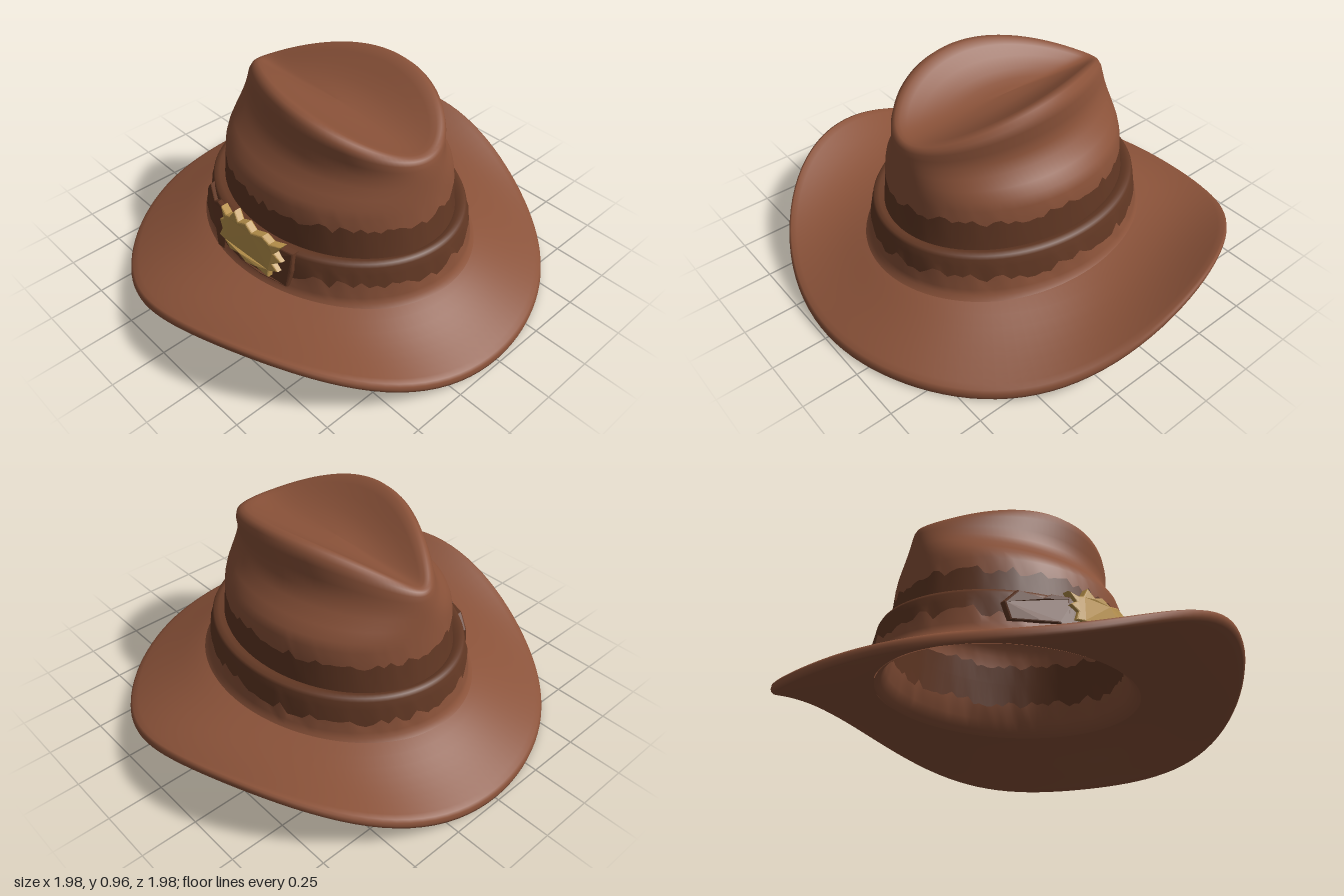
import * as THREE from 'three';

const N = 112;
const mat = (color) => new THREE.MeshStandardMaterial({ color, side: THREE.DoubleSide });
const felt = mat(0x8a5239), dark = mat(0x623824), gold = mat(0xba934c);

// small repeatable noise in -1..1, for ragged colour borders
const noise = (j) => {
  const v = Math.sin(j * 12.9898) * 43758.5453;
  return (v - Math.floor(v)) * 2 - 1;
};

// closed loops of N points, one per row, joined into a smooth skin
function loft(name, rows, point, material) {
  const pos = [], index = [];
  rows.forEach((row) => {
    for (let j = 0; j < N; j++) pos.push(...point(row, (j / N) * Math.PI * 2, j));
  });
  for (let i = 0; i < rows.length - 1; i++) {
    for (let j = 0; j < N; j++) {
      const a = i * N + j, b = i * N + ((j + 1) % N);
      index.push(a, b, a + N, b, b + N, a + N);
    }
  }
  const g = new THREE.BufferGeometry();
  g.setAttribute('position', new THREE.Float32BufferAttribute(pos, 3));
  g.setIndex(index);
  g.computeVertexNormals();
  const mesh = new THREE.Mesh(g, material);
  mesh.name = name;
  return mesh;
}

// crown row: [y, rx, rz, lift of the sides, teardrop amount, ragged height]
function crownPoint([y, rx, rz, lift = 0, tear = 0, jag = 0], t, j) {
  const s = Math.sin(t), c = Math.cos(t);
  const pinch = 1 + tear * (0.28 * s - 0.25 * s * s);
  return [rx * s + 0.005, y + lift * c * c + jag * noise(j), rz * c * pinch];
}

// brim row: u runs from the crown (0) to the rim (1), d is depth under the top face
function brimPoint({ u, d }, t) {
  const s = Math.sin(t), c = Math.cos(t);
  const R = 0.99 + 0.022 * Math.sin(2 * t);
  const rim = 0.06 + 0.28 * Math.cos(t - 0.39) ** 4;
  const k = 0.62 * (1 - u) + R * u, m = 0.53 * (1 - u) + R * u;
  const y = 0.24 + (rim - 0.24) * u ** 1.6 - 0.025 * Math.sin(Math.PI * u) - d;
  return [k * s, y, m * c];
}

// outline cut from sheet and bent round the front of the hat band
function bentPanel(name, outline, depth, offset, material) {
  const shape = new THREE.Shape(outline.map(([x, y]) => new THREE.Vector2(x, y)));
  const g = new THREE.ExtrudeGeometry(shape, {
    depth, bevelEnabled: true, bevelSize: 0.006, bevelThickness: 0.006, bevelSegments: 2,
  });
  const p = g.attributes.position;
  for (let i = 0; i < p.count; i++) {
    const x = p.getX(i), y = p.getY(i);
    const wall = 0.535 * Math.sqrt(1 - (x / 0.64) ** 2) - 0.2 * (y - 0.33);
    p.setZ(i, p.getZ(i) + wall + offset);
  }
  g.computeVertexNormals();
  const mesh = new THREE.Mesh(g, material);
  mesh.name = name;
  return mesh;
}

export function createModel() {
  const hat = new THREE.Group();
  hat.name = 'hat';

  // brim: underside outwards, rounded rim, then top face inwards
  const us = [0, 0.12, 0.25, 0.38, 0.5, 0.62, 0.73, 0.83, 0.91, 0.97];
  const rows = [
    ...us.map((u) => ({ u, d: 0.046 })),
    { u: 0.993, d: 0.038 }, { u: 1, d: 0.024 }, { u: 0.993, d: 0.008 },
    ...us.map((u) => ({ u, d: 0 })).reverse(),
  ];
  hat.add(loft('brim', rows, brimPoint, felt));

  // ribbon round the foot of the crown
  const ribbonEdge = [0.325, 0.645, 0.54, 0, 0, 0.03];
  hat.add(loft('crownFoot', [
    [0.225, 0.675, 0.575], [0.245, 0.658, 0.558], [0.27, 0.652, 0.55], ribbonEdge,
  ], crownPoint, felt));
  hat.add(loft('hatBand', [
    ribbonEdge, [0.38, 0.635, 0.53], [0.415, 0.628, 0.522], [0.43, 0.62, 0.515],
    [0.432, 0.6, 0.49], [0.42, 0.578, 0.462],
  ], crownPoint, dark));

  // crown wall, ridge and the teardrop dent in the top
  const stainEdge = [0.55, 0.564, 0.455, 0, 0, 0.022];
  hat.add(loft('crownStain', [
    [0.41, 0.582, 0.464], [0.46, 0.574, 0.461], stainEdge,
  ], crownPoint, dark));
  const crown = [
    stainEdge,
    [0.61, 0.558, 0.448],
    [0.65, 0.555, 0.43, 0, 0.03],
    [0.69, 0.552, 0.395, 0, 0.12],
    [0.73, 0.55, 0.352, 0.01, 0.3],
    [0.765, 0.547, 0.325, 0.03, 0.45],
    [0.795, 0.543, 0.322, 0.06, 0.6],
    [0.818, 0.538, 0.33, 0.1, 0.75],
    [0.833, 0.53, 0.325, 0.127, 0.88],
    [0.84, 0.518, 0.302, 0.14, 0.95],
    [0.842, 0.5, 0.275, 0.14, 1],
    [0.84, 0.475, 0.24, 0.118, 1],
    [0.838, 0.43, 0.19, 0.083, 1],
    [0.838, 0.36, 0.13, 0.045, 1],
    [0.842, 0.24, 0.075, 0.02, 1],
    [0.85, 0.11, 0.03, 0.005, 1],
    [0.852, 0, 0],
  ];
  hat.add(loft('crown', crown, crownPoint, felt));

  // inside of the crown, listed from the top down so it faces inwards
  const inset = ([y, rx, rz, ...rest]) => [y - 0.035, rx * 0.95, rz * 0.93, ...rest];
  const innerTop = [0.53, 0.536, 0.423, 0, 0, 0.02];
  const innerLow = [0.34, 0.56, 0.452, 0, 0, 0.025];
  hat.add(loft('crownLining', [...crown.slice(1).reverse().map(inset), innerTop], crownPoint, felt));
  hat.add(loft('sweatband', [innerTop, [0.44, 0.548, 0.436], innerLow], crownPoint, dark));
  hat.add(loft('liningFoot', [
    innerLow, [0.26, 0.575, 0.475], [0.215, 0.595, 0.505], [0.194, 0.62, 0.53],
  ], crownPoint, felt));

  // knot, tails and strap end on the ribbon
  hat.add(bentPanel('ribbonTails', [
    [-0.13, 0.43], [-0.23, 0.42], [-0.27, 0.395], [-0.36, 0.415], [-0.41, 0.36],
    [-0.4, 0.285], [-0.3, 0.29], [-0.22, 0.3], [-0.18, 0.245], [-0.13, 0.26],
  ], 0.022, -0.005, dark));
  hat.add(bentPanel('ribbonKnot', [
    [-0.15, 0.43], [-0.17, 0.35], [-0.15, 0.29], [0, 0.285], [0.12, 0.28],
    [0.25, 0.275], [0.26, 0.35], [0.255, 0.43], [0.12, 0.435], [0, 0.435],
  ], 0.026, -0.01, dark));

  // ragged gold buckle
  hat.add(bentPanel('buckle', [
    [-0.16, 0.45], [-0.12, 0.435], [-0.09, 0.445], [-0.06, 0.49], [-0.03, 0.455],
    [0.02, 0.475], [0.06, 0.45], [0.12, 0.465], [0.16, 0.445], [0.21, 0.455],
    [0.18, 0.415], [0.22, 0.39], [0.18, 0.365], [0.21, 0.34], [0.17, 0.33],
    [0.17, 0.3], [0.11, 0.318], [0.05, 0.308], [0, 0.325], [-0.06, 0.312],
    [-0.11, 0.33], [-0.15, 0.325], [-0.13, 0.365], [-0.16, 0.39], [-0.13, 0.41],
  ], 0.026, 0.006, gold));
  hat.add(bentPanel('buckleBack', [
    [-0.09, 0.44], [-0.02, 0.425], [0.05, 0.45], [0.04, 0.41], [0.09, 0.38],
    [0.02, 0.385], [-0.03, 0.36], [-0.05, 0.395],
  ], 0.015, -0.1, gold));

  return hat;
}
